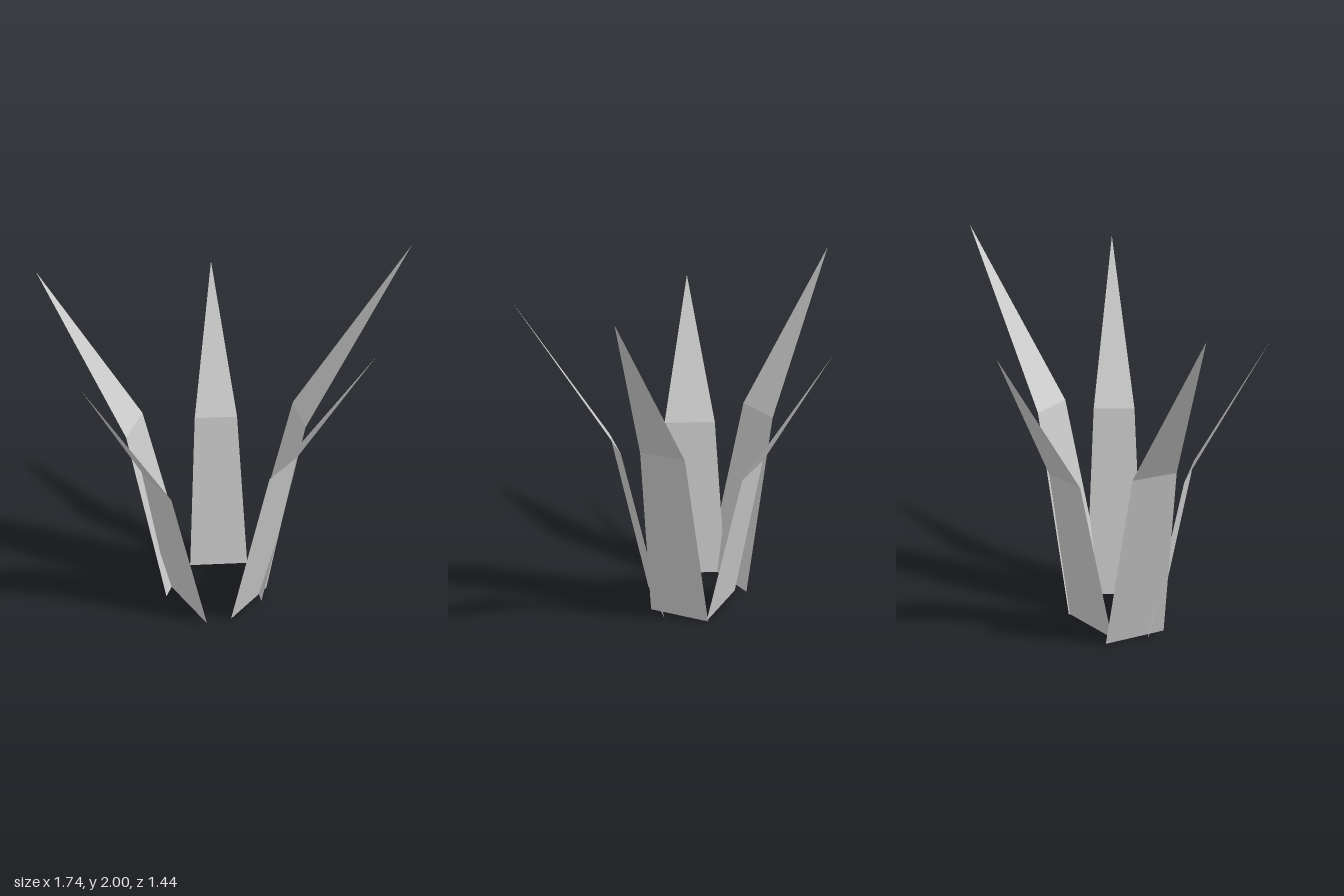
import * as THREE from 'three';

// One folded leaf: a tapering upright panel that bends outward into a point.
function leafGeometry(baseX, baseZ, tipX, tipZ, height, width) {
  const dx = tipX - baseX, dz = tipZ - baseZ, reach = Math.hypot(dx, dz);
  const sx = dz / reach, sz = -dx / reach; // sideways direction
  const corner = (out, up, side) => [
    baseX + dx * out + sx * side, height * up, baseZ + dz * out + sz * side];

  const half = width / 2, bend = half * 0.7;
  const b0 = corner(0, 0, -half), b1 = corner(0, 0, half);
  const m0 = corner(0.3, 0.553, -bend), m1 = corner(0.3, 0.553, bend);
  const tip = corner(1, 1, 0);

  const geometry = new THREE.BufferGeometry();
  const points = [b0, b1, m1, b0, m1, m0, m0, m1, tip].flat();
  geometry.setAttribute('position', new THREE.Float32BufferAttribute(points, 3));
  geometry.computeVertexNormals();
  return geometry;
}

export function createModel() {
  const group = new THREE.Group();
  group.name = 'grassTuft';
  const material = new THREE.MeshStandardMaterial({
    color: 0xcccccc, flatShading: true, side: THREE.DoubleSide });

  // base x, base z, tip x, tip z, height, base width
  const leaves = {
    leftLeaf: [0.12, 0.025, 0.87, 0.025, 2.0, 0.33],
    frontLeaf: [0.05, 0.186, 0.46, 0.72, 1.865, 0.315],
    backLeaf: [-0.04, -0.16, 0.06, -0.72, 1.635, 0.326],
    backRightLeaf: [-0.295, -0.112, -0.87, -0.457, 1.825, 0.332],
    frontRightLeaf: [-0.282, 0.101, -0.77, 0.297, 1.61, 0.395],
  };
  for (const [name, dims] of Object.entries(leaves)) {
    const leaf = new THREE.Mesh(leafGeometry(...dims), material);
    leaf.name = name;
    group.add(leaf);
  }
  return group;
}
